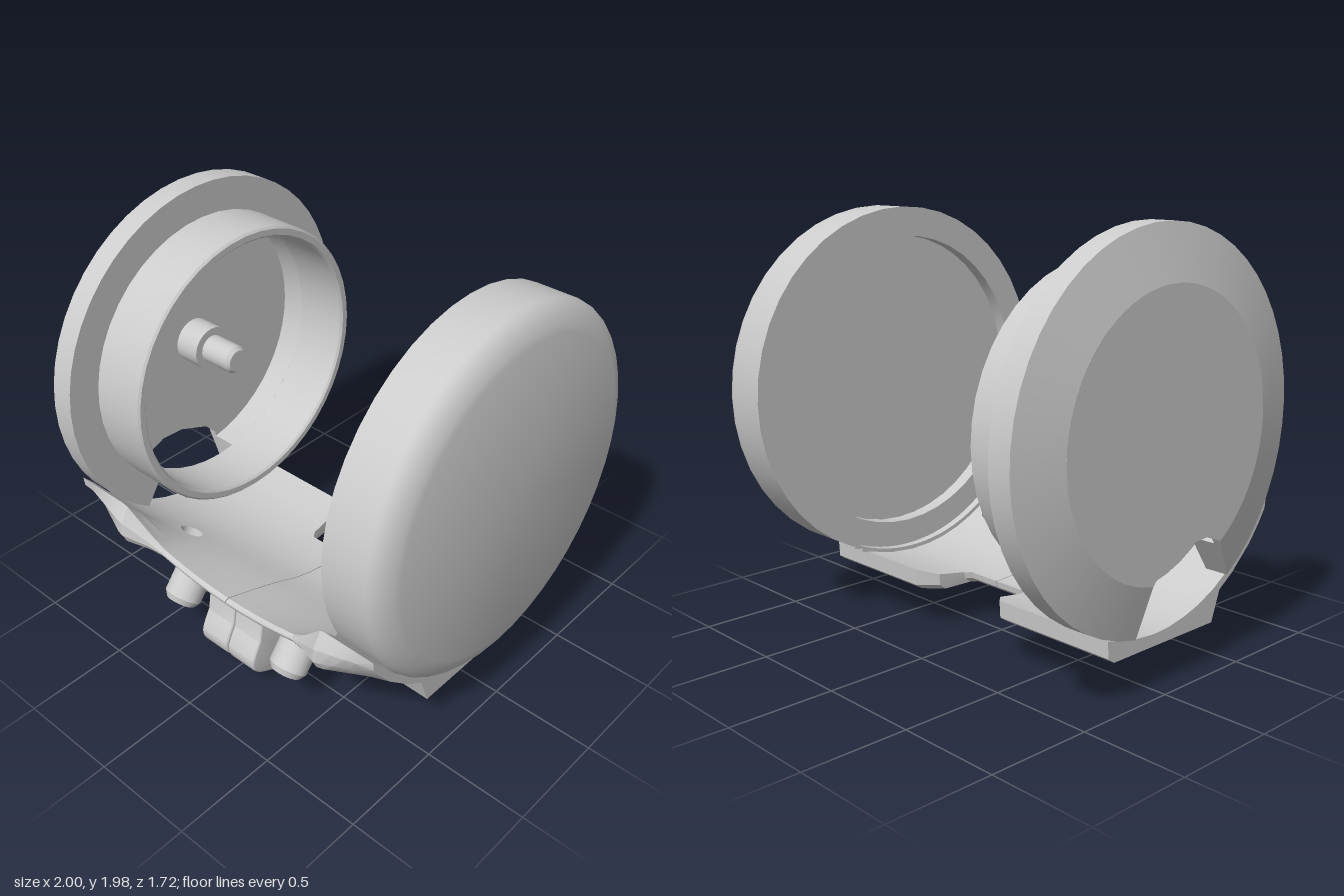
import * as THREE from 'three';
import { toCreasedNormals } from 'three/addons/utils/BufferGeometryUtils.js';

const AXIS_Y = 1.12;
const rad = THREE.MathUtils.degToRad;
const lerp = THREE.MathUtils.lerp;
const grey = new THREE.MeshStandardMaterial({ color: 0xcccccc });
const greyDouble = new THREE.MeshStandardMaterial({ color: 0xcccccc, side: THREE.DoubleSide });

function mesh(name, geo, mat = grey) {
  const m = new THREE.Mesh(toCreasedNormals(geo, 0.36), mat);
  m.name = name;
  return m;
}

// Turned part about the x axis; the profile is [radius, x]
function turned(profile, start = 0, length = Math.PI * 2, segments = 44) {
  const pts = profile.map(([r, x]) => new THREE.Vector2(r, x));
  return new THREE.LatheGeometry(pts, segments, start, length)
    .rotateZ(-Math.PI / 2).translate(0, AXIS_Y, 0);
}

// Shape drawn in (z, y), extruded from x0 to x1
function extrudeX(shape, x0, x1, bevel = 0) {
  return new THREE.ExtrudeGeometry(shape, {
    depth: x1 - x0 - 2 * bevel, bevelEnabled: bevel > 0, bevelSize: bevel,
    bevelThickness: bevel, bevelOffset: -bevel, bevelSegments: 3, curveSegments: 44,
  }).rotateY(-Math.PI / 2).translate(x1 - bevel, 0, 0);
}

// ---- Saddle cross-sections ----
const arcY = (z, r = 0.865) => AXIS_Y - Math.sqrt(r * r - z * z);
const BACK = [[0, -0.03], [0.18, -0.03], [0.2, -0.06], [0.21, -0.21], [0.29, -0.29], [1, -0.29]];

function backEdge(ax) {
  const i = BACK.findIndex((p, k) => k > 0 && ax <= p[0]);
  const [a, b] = [BACK[i - 1], BACK[i]];
  return lerp(a[1], b[1], (ax - a[0]) / (b[0] - a[0]));
}

function section(x) {
  const ax = Math.abs(x), f = THREE.MathUtils.smoothstep(ax, 0.42, 0.64);
  const taper = THREE.MathUtils.clamp((ax - 0.62) / 0.26, 0, 1); // outer corners draw in to the cups
  const zb = backEdge(ax);
  const yt = 0.47 + 0.05 * Math.min(1, ax / 0.45) ** 2;
  const front = (mz, my, fz, fy, ez) => [
    lerp(lerp(mz, fz, f), ez, taper), lerp(lerp(my, fy, f), arcY(ez, 0.9), taper)];
  const top = z => {
    const low = z > 0.42 ? lerp(arcY(0.42), yt, (z - 0.42) / 0.31) : arcY(z);
    return [z, lerp(low, arcY(z), f)];
  };
  return [
    [zb, arcY(zb)], [zb + 0.005, 0.225], [zb + 0.04, 0.2], [0.4, 0.2],
    front(0.44, 0.228, 0.44, 0.228, 0.45), front(0.53, 0.291, 0.53, 0.291, 0.54), // hole row
    front(0.74, yt - 0.035, 0.8, 0.5, 0.66), front(0.75, yt - 0.015, 0.825, 0.55, 0.73),
    front(0.748, yt - 0.008, 0.82, 0.62, 0.77), [lerp(0.73, 0.775, f), lerp(yt, 0.7, f)],
    top(0.72), top(0.65), top(0.58), top(0.5), top(0.4), // hole row
    top(0.3), top(0.2), top(0.1), top(0), top(zb / 2),
  ];
}
const HOLE_OUT = 4, HOLE_IN = 13, HOLE_X = 0.49;

function saddleHalf(xs) {
  const rings = xs.map(x => section(x).map(([z, y]) => new THREE.Vector3(x, y, z)));
  const n = rings[0].length, pos = [];
  const tri = (...v) => v.forEach(p => pos.push(p.x, p.y, p.z));
  const quad = (a, b, c, d) => { tri(a, b, c); tri(a, c, d); };

  // Square cell with a round opening, stretched over four corners
  const cell = new THREE.Shape([[0, 0], [1, 0], [1, 1], [0, 1]].map(p => new THREE.Vector2(...p)));
  cell.holes.push(new THREE.Path().absarc(0.5, 0.5, 0.48, 0, Math.PI * 2, true));
  const plate = new THREE.ShapeGeometry(cell, 10).toNonIndexed().attributes.position;
  const onCell = ([a, b, c, d], u, v) =>
    a.clone().lerp(b, u).lerp(d.clone().lerp(c, u), v);

  for (let i = 0; i + 1 < rings.length; i++) {
    const holed = Math.abs(Math.min(Math.abs(xs[i]), Math.abs(xs[i + 1])) - HOLE_X) < 1e-6;
    const corners = j => {
      const k = (j + 1) % n;
      return [rings[i][j], rings[i + 1][j], rings[i + 1][k], rings[i][k]];
    };
    for (let j = 0; j < n; j++) {
      const c = corners(j);
      if (holed && (j === HOLE_OUT || j === HOLE_IN)) {
        for (let k = 0; k < plate.count; k++) tri(onCell(c, plate.getX(k), plate.getY(k)));
      } else quad(...c);
    }
    if (holed) { // bore wall
      const o = corners(HOLE_OUT), p = corners(HOLE_IN), S = 20;
      const at = k => [0.5 + 0.48 * Math.cos(k / S * Math.PI * 2), 0.5 + 0.48 * Math.sin(k / S * Math.PI * 2)];
      for (let k = 0; k < S; k++) {
        const [u, v] = at(k), [s, t] = at(k + 1);
        quad(onCell(o, u, v), onCell(o, s, t), onCell(p, s, 1 - t), onCell(p, u, 1 - v));
      }
    }
  }
  // Flat ends
  const first = rings[0], last = rings[rings.length - 1];
  for (const [ring, flip] of [[first, false], [last, true]]) {
    const flat = ring.map(p => new THREE.Vector2(p.z, p.y));
    for (const [a, b, c] of THREE.ShapeUtils.triangulateShape(flat, [])) {
      if (flip) tri(ring[a], ring[c], ring[b]); else tri(ring[a], ring[b], ring[c]);
    }
  }
  const g = new THREE.BufferGeometry();
  g.setAttribute('position', new THREE.Float32BufferAttribute(pos, 3));
  return g;
}

export function createModel() {
  const group = new THREE.Group();

  // Shallow cup on the left with a rounded outer shoulder
  const cup = [[0, 0.77], [0.72, 0.77], [0.72, 0.7], [0.86, 0.7]];
  for (let i = 0; i <= 7; i++) {
    const a = rad(65) * i / 7;
    cup.push([0.86 - 0.12 * (1 - Math.cos(a)) / (1 - Math.cos(rad(65))), 0.9 + 0.1 * Math.sin(a) / Math.sin(rad(65))]);
  }
  cup.push([0, 1]);
  group.add(mesh('leftCup', turned(cup)));

  // Flanged cover on the right, its rim open at the bottom front
  const gapFrom = -9, gapTo = 34;
  const rim = [[0.62, -1], [0.86, -0.945], [0.86, -0.83], [0.65, -0.83], [0.65, -0.955], [0.62, -0.955], [0.62, -1]];
  const start = rad(90 - gapFrom), sweep = rad(360 - (gapTo - gapFrom));
  group.add(mesh('rightCoverRim', turned(rim, start, sweep)));
  for (const phi of [start, start + sweep]) {
    const end = new THREE.ShapeGeometry(new THREE.Shape(rim.slice(0, -1).map(p => new THREE.Vector2(...p))))
      .rotateY(phi - Math.PI / 2).rotateZ(-Math.PI / 2).translate(0, AXIS_Y, 0);
    group.add(mesh('rightCoverRimEnd', end, greyDouble));
  }
  const polar = (r, a) => [r * Math.cos(rad(a)), AXIS_Y + r * Math.sin(rad(a))];
  const floor = new THREE.Shape();
  floor.absarc(0, AXIS_Y, 0.62, rad(gapTo - 90), rad(270 + gapFrom), false);
  floor.lineTo(...polar(0.55, 266));
  floor.lineTo(...polar(0.5, 285));
  floor.lineTo(...polar(0.54, 298));
  floor.closePath();
  group.add(mesh('rightCoverPlate', extrudeX(floor, -1, -0.955)));
  group.add(mesh('rightCoverCollar', turned([[0.65, -0.83], [0.7, -0.83], [0.7, -0.56], [0.69, -0.55],
    [0.66, -0.55], [0.65, -0.56], [0.65, -0.83]])));

  // Stepped centre post inside the cover
  group.add(mesh('centrePost', turned([[0, -0.96], [0.11, -0.96], [0.11, -0.82], [0.07, -0.82],
    [0.07, -0.66], [0.055, -0.64], [0, -0.64]], 0, Math.PI * 2, 24)));

  // Saddle in two halves with a fine seam between them
  const left = [0.09, 0.18, 0.2, 0.21, 0.25, 0.29, 0.36, 0.42, HOLE_X, 0.61, 0.64, 0.7, 0.76, 0.82, 0.9];
  const right = [...left.slice(0, -1), 0.88, 0.93].map(x => -x).reverse();
  group.add(mesh('saddleLeft', saddleHalf([0.009, ...left]), greyDouble));
  group.add(mesh('saddleRight', saddleHalf([...right, 0.004]), greyDouble));

  // Narrow seating lip beside the cup
  group.add(mesh('seatingLip', turned([[0.845, 0.66], [0.87, 0.66], [0.87, 0.72], [0.845, 0.72], [0.845, 0.66]],
    rad(32), rad(80), 24), greyDouble));

  // Paired clamp lugs under the seam
  const lug = new THREE.Shape();
  lug.moveTo(0.41, 0.22);
  lug.lineTo(0.41, 0.1);
  lug.bezierCurveTo(0.41, 0.02, 0.48, -0.015, 0.55, 0.015);
  lug.lineTo(0.69, 0.085);
  lug.quadraticCurveTo(0.77, 0.13, 0.755, 0.2);
  lug.quadraticCurveTo(0.74, 0.24, 0.71, 0.29);
  lug.lineTo(0.69, 0.4);
  lug.closePath();
  group.add(mesh('clampLugRight', extrudeX(lug, -0.165, 0.004, 0.015)));
  group.add(mesh('clampLugLeft', extrudeX(lug, 0.009, 0.178, 0.015)));

  // Chamfered studs standing square to the sloping front
  const studProfile = [[0, -0.06], [0.09, -0.06], [0.09, 0.08], [0.07, 0.11], [0, 0.11]]
    .map(p => new THREE.Vector2(...p));
  const out = new THREE.Vector3(0, -0.78, 0.63).normalize();
  for (const side of [-1, 1]) {
    const stud = mesh(side > 0 ? 'studLeft' : 'studRight', new THREE.LatheGeometry(studProfile, 24));
    stud.quaternion.setFromUnitVectors(new THREE.Vector3(0, 1, 0), out);
    stud.position.set(side > 0 ? 0.355 : -0.338, 0.325, 0.66);
    group.add(stud);
  }
  return group;
}
